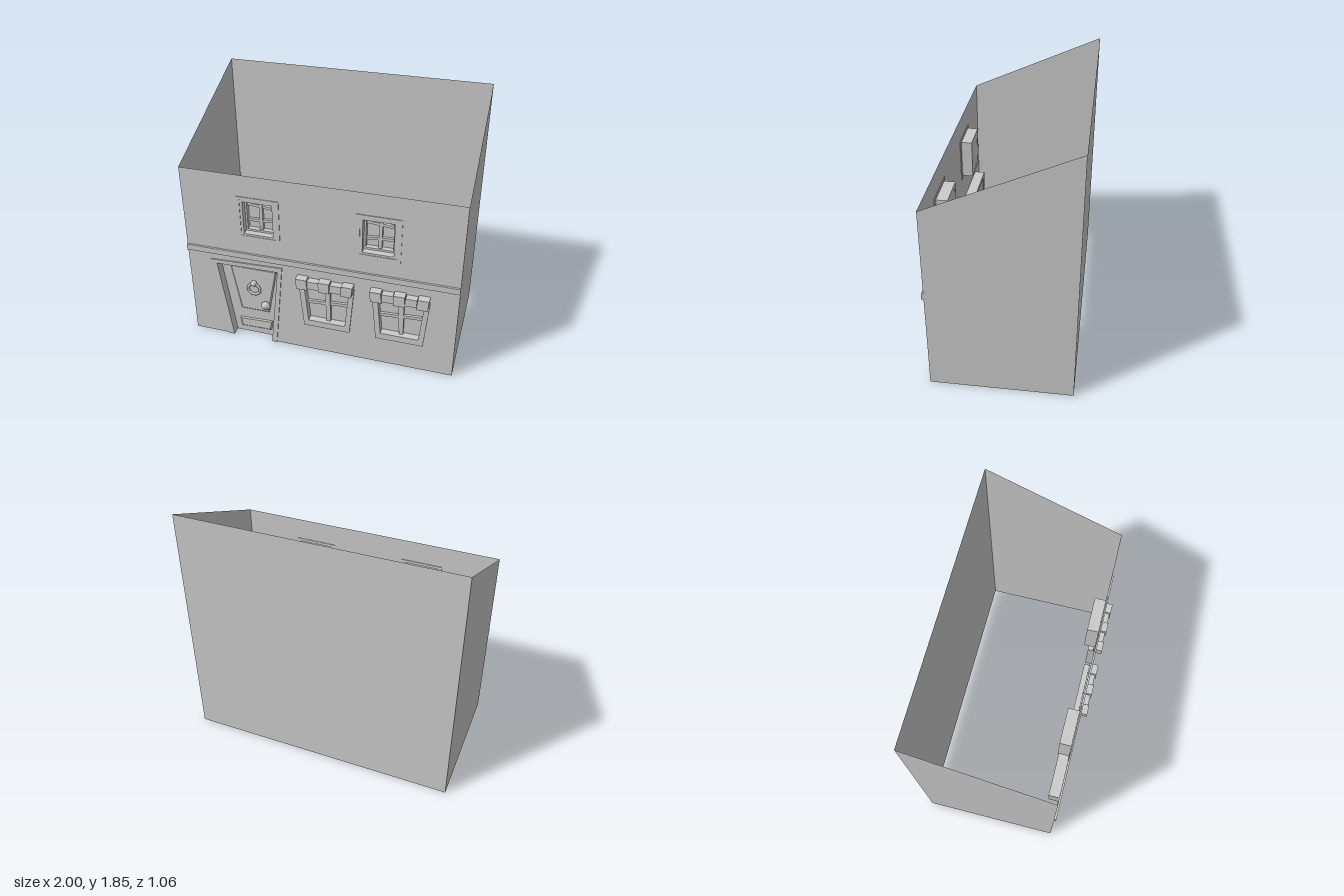
import * as THREE from 'three';

const mat = new THREE.MeshStandardMaterial({ color: 0xcccccc, side: THREE.DoubleSide, flatShading: true });
const smooth = new THREE.MeshStandardMaterial({ color: 0xcccccc });
const WALL = 0.47, BACK = -0.53;

const toShape = (pts) => new THREE.Shape(pts.map(([x, y]) => new THREE.Vector2(x, y)));
const toHole = (pts) => new THREE.Path(pts.map(([x, y]) => new THREE.Vector2(x, y)));
const shift = (pts, dx) => pts.map(([x, y]) => [x + dx, y]);

function add(parent, name, geo, material = mat) {
  const mesh = new THREE.Mesh(geo, material);
  mesh.name = name;
  parent.add(mesh);
  return mesh;
}

// Polygon in the xy plane, extruded from z0 to z1, with an optional hole
function slab(parent, name, pts, z0, z1, hole) {
  const shape = toShape(pts);
  if (hole) shape.holes.push(toHole(hole));
  const geo = new THREE.ExtrudeGeometry(shape, { depth: z1 - z0, bevelEnabled: false });
  geo.translate(0, 0, z0);
  return add(parent, name, geo);
}

const rect = (x0, y0, x1, y1) => [[x0, y0], [x1, y0], [x1, y1], [x0, y1]];

// Raised panel whose front face is smaller than its base
function raisedPanel(parent, name, pts, z, height, inset) {
  const cx = pts.reduce((s, p) => s + p[0], 0) / 4, cy = pts.reduce((s, p) => s + p[1], 0) / 4;
  const pos = [];
  const base = pts.map(([x, y]) => [x, y, z]);
  const top = pts.map(([x, y]) => [x - Math.sign(x - cx) * inset, y - Math.sign(y - cy) * inset, z + height]);
  const quad = (a, b, c, d) => pos.push(...a, ...b, ...c, ...a, ...c, ...d);
  quad(...top);
  for (let i = 0; i < 4; i++) quad(base[i], base[(i + 1) % 4], top[(i + 1) % 4], top[i]);
  const geo = new THREE.BufferGeometry();
  geo.setAttribute('position', new THREE.Float32BufferAttribute(pos, 3));
  geo.computeVertexNormals();
  add(parent, name, geo);
}

// Outlines of the openings
const doorOuter = [[-0.735, 0], [-0.335, 0], [-0.27, 0.693], [-0.825, 0.675]];
const doorInner = [[-0.685, 0], [-0.375, 0], [-0.305, 0.652], [-0.775, 0.645]];
const lowOuter = [[-0.11, 0.225], [0.235, 0.225], [0.267, 0.615], [-0.147, 0.615]];
const lowInner = [[-0.075, 0.275], [0.2, 0.275], [0.228, 0.59], [-0.105, 0.59]];
const upOuter = rect(-0.59, 0.9, -0.275, 1.235);
const upMiddle = rect(-0.562, 0.925, -0.305, 1.215);
const upInner = rect(-0.543, 0.94, -0.325, 1.195);

function buildWalls(root) {
  const walls = new THREE.Group();
  walls.name = 'walls';
  root.add(walls);
  // Front wall, notched for the door and pierced for the windows
  const front = toShape([[-1, 0], doorInner[0], doorInner[3], doorInner[2], doorInner[1], [1, 0], [1, 1.4], [-1, 1.4]]);
  for (const dx of [0, 0.54]) front.holes.push(toHole(shift(lowInner, dx)));
  for (const dx of [0, 0.86]) front.holes.push(toHole(shift(upInner, dx)));
  add(walls, 'frontWall', new THREE.ShapeGeometry(front)).position.z = WALL;

  const back = add(walls, 'backWall', new THREE.PlaneGeometry(2, 1.85));
  back.position.set(0, 0.925, BACK);
  back.rotation.y = Math.PI;

  // Side walls with sloping tops
  const side = toShape([[-WALL, 0], [-BACK, 0], [-BACK, 1.85], [-WALL, 1.4]]);
  for (const s of [-1, 1]) {
    const wall = add(walls, s > 0 ? 'leftWall' : 'rightWall', new THREE.ShapeGeometry(side));
    wall.rotation.y = Math.PI / 2;
    wall.position.x = s;
  }
  slab(walls, 'stringCourse', rect(-1, 0.73, 1, 0.775), WALL, 0.485);
}

function buildDoor(root) {
  const door = new THREE.Group();
  door.name = 'door';
  root.add(door);
  // Crooked frame: two jambs and a head, open at the floor
  const frame = [doorOuter[0], doorInner[0], doorInner[3], doorInner[2], doorInner[1], doorOuter[1], doorOuter[2], doorOuter[3]];
  slab(door, 'doorFrame', frame, 0.39, 0.478);
  slab(door, 'doorLeaf', doorInner, 0.395, 0.41);
  raisedPanel(door, 'upperPanel', [[-0.635, 0.22], [-0.41, 0.22], [-0.335, 0.61], [-0.7, 0.61]], 0.41, 0.008, 0.01);
  raisedPanel(door, 'lowerPanel', [[-0.645, 0.045], [-0.4, 0.05], [-0.388, 0.14], [-0.655, 0.13]], 0.41, 0.008, 0.01);

  // Ring knocker
  const ring = add(door, 'knockerRing', new THREE.TorusGeometry(0.046, 0.01, 10, 28), smooth);
  ring.position.set(-0.515, 0.432, 0.432);
  const boss = add(door, 'knockerBoss', new THREE.SphereGeometry(0.023, 16, 12), smooth);
  boss.position.set(-0.515, 0.48, 0.43);

  // Round knob on a short stem
  const profile = [[0, 0], [0.018, 0], [0.014, 0.012], [0.032, 0.018], [0.037, 0.03], [0.03, 0.044], [0, 0.052]];
  const knob = add(door, 'doorKnob', new THREE.LatheGeometry(profile.map(([x, y]) => new THREE.Vector2(x, y)), 24), smooth);
  knob.rotation.x = Math.PI / 2;
  knob.position.set(-0.425, 0.3, 0.412);
}

function buildLowerWindow(root, dx, name) {
  const win = new THREE.Group();
  win.name = name;
  win.position.x = dx;
  root.add(win);
  slab(win, 'windowFrame', lowOuter, 0.42, 0.48, lowInner);
  slab(win, 'pane', lowInner, 0.422, 0.426);
  // Crooked glazing bars
  slab(win, 'uprightBar', [[0.055, 0.275], [0.085, 0.275], [0.08, 0.59], [0.04, 0.59]], 0.426, 0.45);
  slab(win, 'leftCrossBar', [[-0.09, 0.405], [0.055, 0.415], [0.055, 0.438], [-0.09, 0.43]], 0.426, 0.445);
  slab(win, 'rightCrossBar', [[0.075, 0.42], [0.212, 0.425], [0.212, 0.45], [0.075, 0.442]], 0.426, 0.445);
  // Lintel of five blocks, alternating in size
  for (let i = 0; i < 5; i++) {
    const x = -0.155 + i * 0.0845, big = i % 2 === 0;
    const lo = big ? 0.58 : 0.588, hi = big ? 0.662 : 0.65;
    const lean = (i - 2) * 0.004;
    slab(win, 'lintelBlock', [[x + 0.002 - lean, lo], [x + 0.082 - lean, lo], [x + 0.082, hi], [x + 0.002, hi]],
      0.46, big ? 0.53 : 0.522);
  }
}

function buildUpperWindow(root, dx, name) {
  const win = new THREE.Group();
  win.name = name;
  win.position.x = dx;
  root.add(win);
  // Stepped frame with a deep reveal
  slab(win, 'outerTrim', upOuter, 0.465, 0.475, upMiddle);
  slab(win, 'reveal', upMiddle, 0.385, 0.471, upInner);
  slab(win, 'sash', upInner, 0.385, 0.425, rect(-0.53, 0.955, -0.338, 1.182));
  slab(win, 'pane', upInner, 0.386, 0.39);
  // Crooked glazing bars
  slab(win, 'uprightBar', [[-0.445, 0.945], [-0.42, 0.945], [-0.418, 1.19], [-0.44, 1.19]], 0.39, 0.415);
  for (const [y, tilt] of [[1.01, 0.012], [1.14, -0.02]])
    slab(win, 'crossBar', [[-0.535, y], [-0.333, y + tilt], [-0.333, y + tilt + 0.02], [-0.535, y + 0.02]], 0.39, 0.41);
}

export function createModel() {
  const root = new THREE.Group();
  root.name = 'houseFront';
  buildWalls(root);
  buildDoor(root);
  buildLowerWindow(root, 0, 'lowerWindowRight');
  buildLowerWindow(root, 0.54, 'lowerWindowLeft');
  buildUpperWindow(root, 0, 'upperWindowRight');
  buildUpperWindow(root, 0.86, 'upperWindowLeft');
  return root;
}
